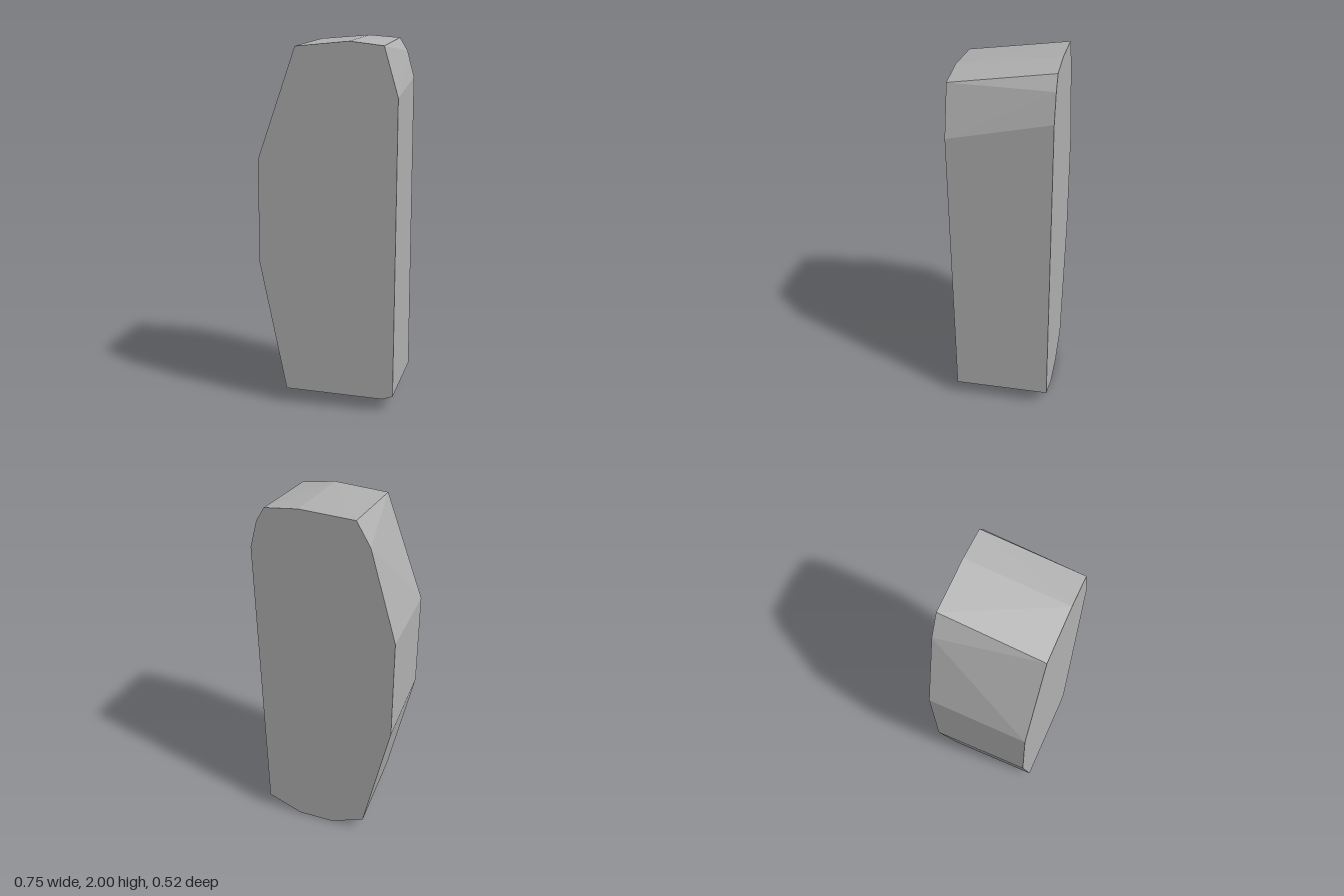
import * as THREE from 'three';
import { ConvexGeometry } from 'three/addons/geometries/ConvexGeometry.js';

// Outlines (x, y) of the two flat faces of the slab
const FRONT = [
  [-0.373, 1.33], [-0.165, 1.912], [0.12, 1.932], [0.299, 1.906], [0.372, 1.65],
  [0.36, 0.088], [0.305, 0.068], [-0.227, 0.08], [-0.373, 0.78],
];
const BACK = [
  [-0.373, 1.36], [-0.236, 1.86], [-0.165, 1.985], [0.115, 2.0], [0.288, 1.982],
  [0.331, 1.91], [0.37, 1.765], [0.362, 0.095], [0.168, 0.005], [-0.035, 0],
  [-0.227, 0.08], [-0.373, 0.78],
];
const HALF_DEPTH = 0.261;

export function createModel() {
  const group = new THREE.Group();
  group.name = 'standingStone';

  const stone = new THREE.MeshStandardMaterial({ color: 0xb2b2b2 });
  stone.name = 'grey stone';

  // Chiselled slab: faceted hull stretched between both outlines
  const place = (outline, z) => outline.map(([x, y]) => new THREE.Vector3(x, y, z));
  const slab = new THREE.Mesh(
    new ConvexGeometry([...place(FRONT, HALF_DEPTH), ...place(BACK, -HALF_DEPTH)]),
    stone,
  );
  slab.name = 'stoneSlab';
  group.add(slab);
  return group;
}
